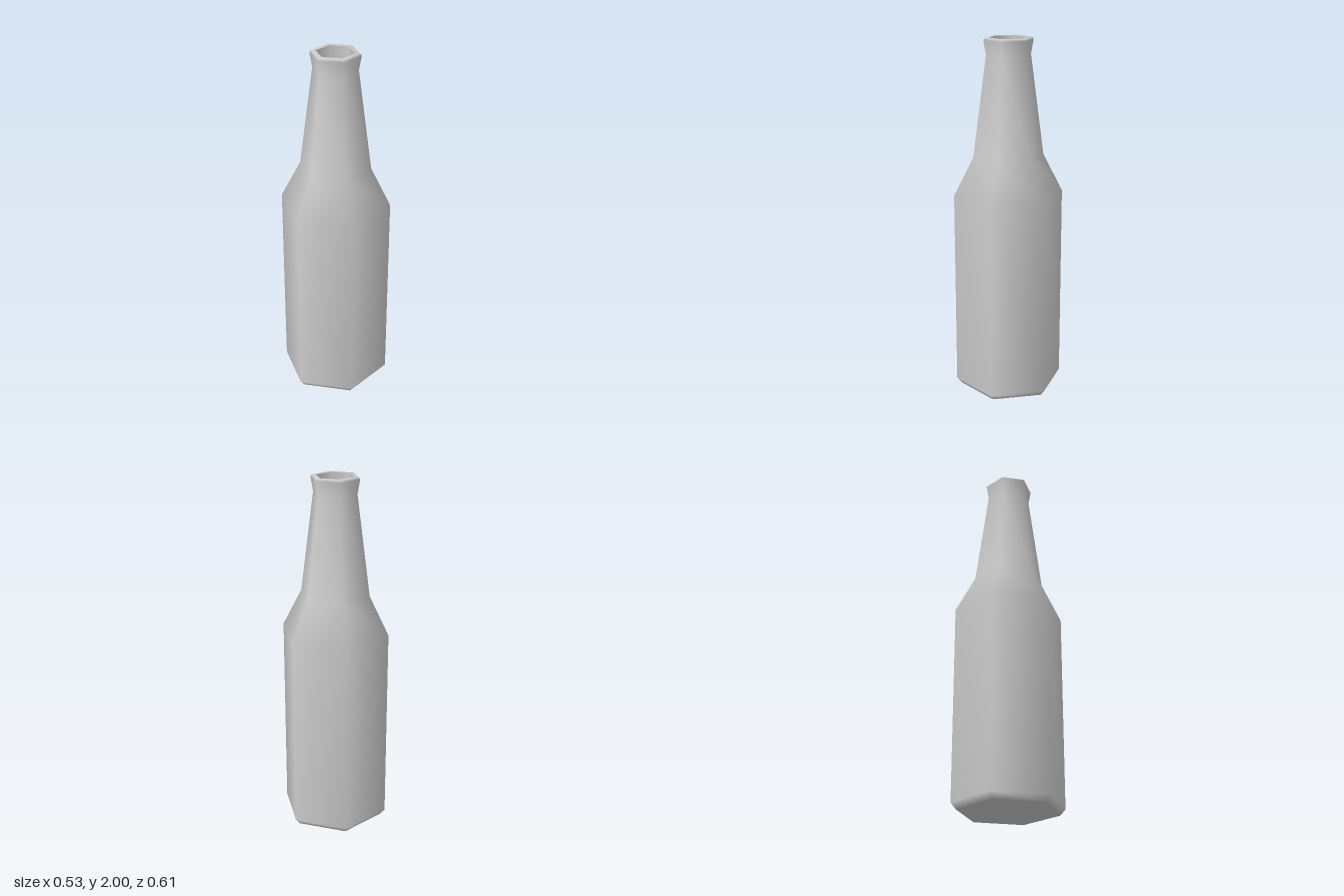
import * as THREE from 'three';

const SIDES = 6;

export function createModel() {
  const group = new THREE.Group();
  group.name = 'bottle';
  const material = new THREE.MeshStandardMaterial({ color: 0xcccccc });

  // Turns a [radius, height] profile into a smooth-shaded six-sided part
  const addTurned = (name, profile) => {
    const points = profile.map(([r, y]) => new THREE.Vector2(r, y));
    const mesh = new THREE.Mesh(new THREE.LatheGeometry(points, SIDES), material);
    mesh.name = name;
    group.add(mesh);
  };

  // Outer glass: base, chamfer, body, shoulder, tapering neck and flared lip
  addTurned('bottleShell', [
    [0, 0], [0.277, 0], [0.307, 0.035], [0.307, 1.14],
    [0.197, 1.355], [0.123, 1.91], [0.137, 1.988], [0.129, 2], [0.104, 2],
  ]);

  // Inside of the mouth, running down the neck to a closed floor
  addTurned('mouthWall', [[0.104, 2], [0.104, 1.78]]);
  addTurned('mouthFloor', [[0.104, 1.78], [0, 1.78]]);

  return group;
}
